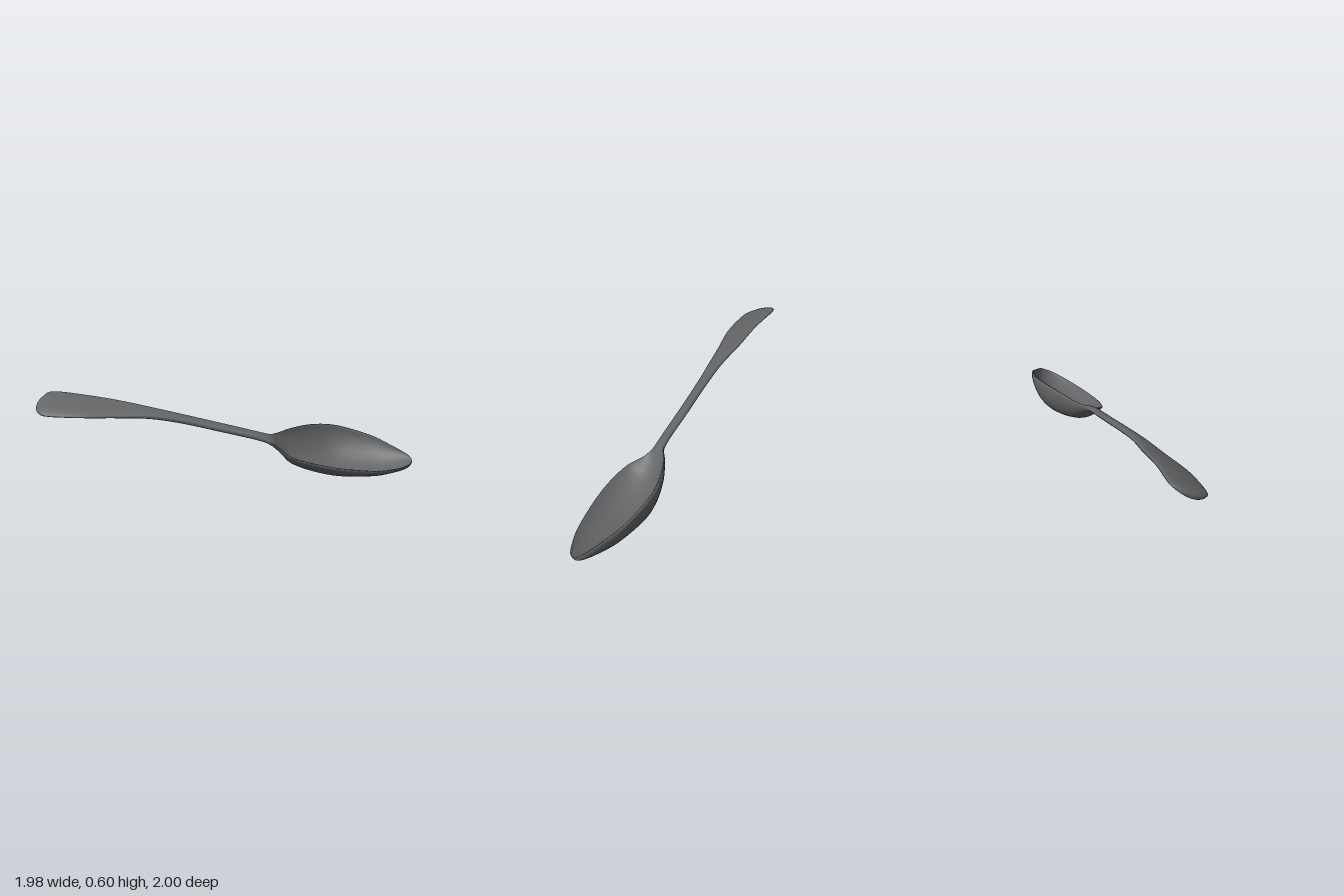
import * as THREE from 'three';

// Stations from handle end to bowl tip:
// [distance along spoon, sideways shift, height, half width, underside depth, upper surface depth]
const STATIONS = [
  [-1.335, 0.03, 0.535, 0.035, 0.02, -0.006],
  [-1.31, 0.022, 0.542, 0.088, 0.03, -0.014],
  [-1.24, 0.02, 0.55, 0.134, 0.03, -0.018],
  [-1.0, 0.037, 0.535, 0.123, 0.026, -0.018],
  [-0.75, 0.024, 0.512, 0.092, 0.025, -0.02],
  [-0.53, 0.021, 0.486, 0.058, 0.025, -0.022],
  [-0.3, 0.013, 0.443, 0.041, 0.024, -0.022],
  [0, 0.007, 0.375, 0.038, 0.023, -0.022],
  [0.25, 0.006, 0.318, 0.037, 0.024, -0.02],
  [0.35, 0.004, 0.295, 0.047, 0.04, -0.005],
  [0.42, 0, 0.28, 0.09, 0.083, 0.045],
  [0.5, 0.016, 0.265, 0.155, 0.14, 0.11],
  [0.66, 0, 0.255, 0.21, 0.19, 0.167],
  [0.85, -0.016, 0.232, 0.23, 0.2, 0.178],
  [1.1, -0.012, 0.188, 0.19, 0.147, 0.126],
  [1.25, 0, 0.16, 0.122, 0.095, 0.073],
  [1.34, 0.005, 0.145, 0.065, 0.052, 0.025],
  [1.378, 0.002, 0.14, 0.018, 0.02, 0.003],
];
const ROLL = THREE.MathUtils.degToRad(28);
const HALF = 16; // segments across each of the lower and upper surfaces
const RINGS = (STATIONS.length - 1) * 5;

function spline(from) {
  const pts = STATIONS.map((s) => new THREE.Vector3(...s.slice(from, from + 3)));
  return new THREE.CatmullRomCurve3(pts, false, 'catmullrom', 0.5);
}

// Crescent cross-section: underside one way, upper surface back.
// Deep sections (the bowl) flare towards the rim, thin ones stay rounded.
function section(halfWidth, under, upper) {
  const a = halfWidth / Math.cos(ROLL);
  const power = 1 + 0.45 * THREE.MathUtils.smoothstep(under, 0.03, 0.12);
  const bulge = (k) => Math.abs(Math.sin((k / HALF) * Math.PI)) ** power;
  const pts = [];
  for (let k = 0; k <= HALF; k++) {
    pts.push([a * Math.cos((k / HALF) * Math.PI), -under * bulge(k)]);
  }
  for (let k = HALF; k >= 0; k--) {
    pts.push([a * 0.95 * Math.cos((k / HALF) * Math.PI), 0.004 - upper * bulge(k)]);
  }
  return pts;
}

function spoonGeometry() {
  const path = spline(0), shape = spline(3);
  const along = new THREE.Vector3(1, 0, -1).normalize();
  const side = new THREE.Vector3(1, 0, 1).normalize();
  const up = new THREE.Vector3(0, 1, 0);
  // Rolled axes of the cross-section
  const across = side.clone().multiplyScalar(Math.cos(ROLL)).addScaledVector(up, -Math.sin(ROLL));
  const normal = up.clone().multiplyScalar(Math.cos(ROLL)).addScaledVector(side, Math.sin(ROLL));
  const pos = [], index = [], n = 2 * (HALF + 1);
  const centres = [];
  for (let i = 0; i <= RINGS; i++) {
    const c = path.getPoint(i / RINGS), s = shape.getPoint(i / RINGS);
    const centre = new THREE.Vector3().addScaledVector(along, c.x)
      .addScaledVector(side, c.y).addScaledVector(up, c.z);
    centres.push(centre);
    for (const [w, h] of section(s.x, s.y, s.z)) {
      const p = centre.clone().addScaledVector(across, w).addScaledVector(normal, h);
      pos.push(p.x, p.y, p.z);
    }
  }
  for (let i = 0; i < RINGS; i++) {
    for (let j = 0; j < n; j++) {
      const a = i * n + j, b = i * n + ((j + 1) % n);
      index.push(a, b, a + n, b, b + n, a + n);
    }
  }
  // End caps
  const first = pos.length / 3, last = RINGS * n;
  pos.push(...centres[0].toArray(), ...centres[RINGS].toArray());
  for (let j = 0; j < n; j++) {
    const k = (j + 1) % n;
    index.push(first, k, j, first + 1, last + j, last + k);
  }
  const geo = new THREE.BufferGeometry();
  geo.setAttribute('position', new THREE.Float32BufferAttribute(pos, 3));
  geo.setIndex(index);
  // Centre and stand on the ground
  geo.center();
  geo.computeBoundingBox();
  geo.translate(0, -geo.boundingBox.min.y, 0);
  geo.computeVertexNormals();
  return geo;
}

export function createModel() {
  const group = new THREE.Group();
  group.name = 'tableSpoon';
  const material = new THREE.MeshStandardMaterial({ color: 0x636466 });
  const spoon = new THREE.Mesh(spoonGeometry(), material);
  spoon.name = 'spoonHandleAndBowl';
  group.add(spoon);
  return group;
}
